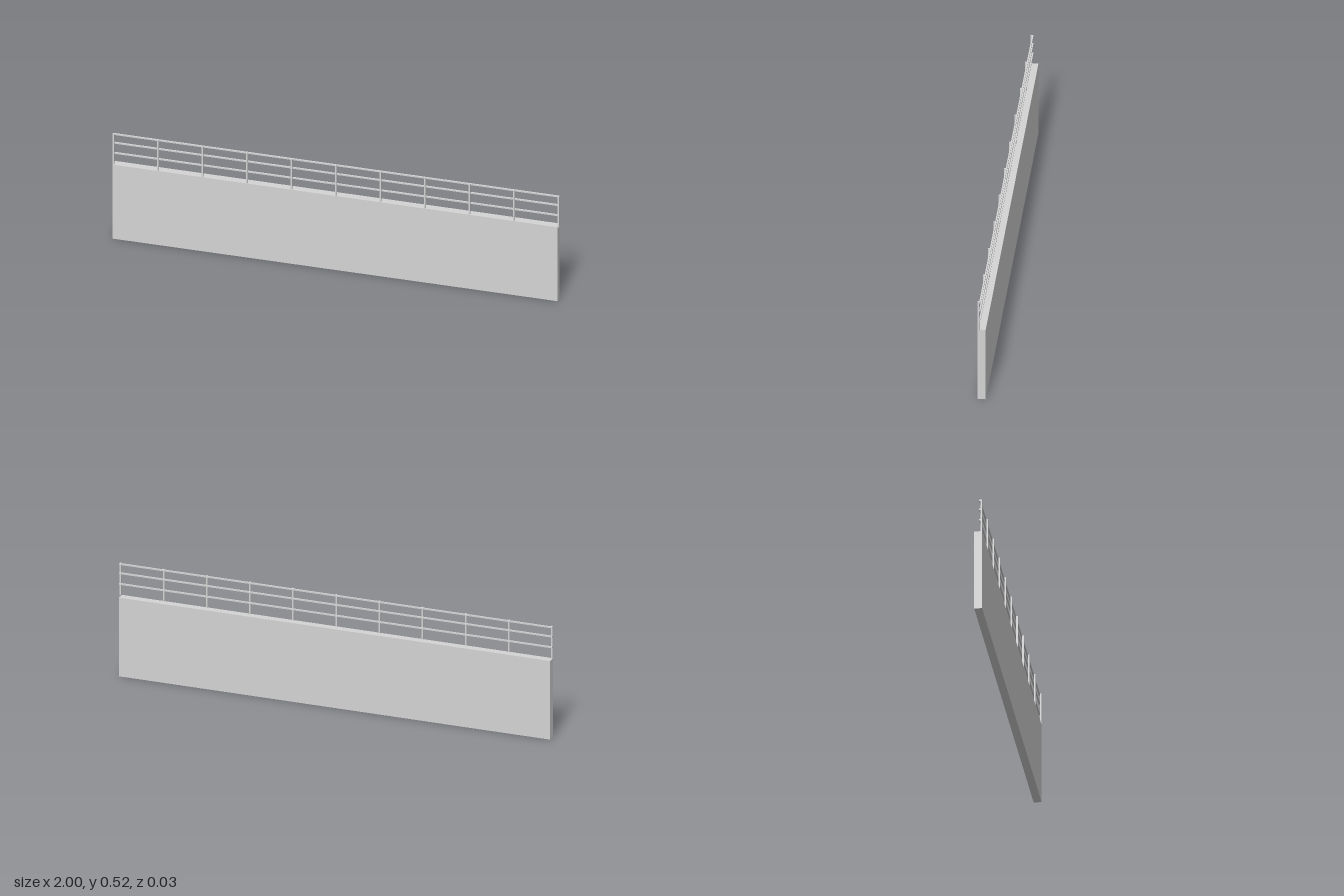
import * as THREE from 'three';

export function createModel() {
  const model = new THREE.Group();
  const lightGrey = new THREE.MeshStandardMaterial({ color: 0xd4d4d4 });
  lightGrey.name = 'light grey';

  // Box given by its extents along each axis
  const box = (name, [x0, x1], [y0, y1], [z0, z1]) => {
    const mesh = new THREE.Mesh(new THREE.BoxGeometry(x1 - x0, y1 - y0, z1 - z0), lightGrey);
    mesh.position.set((x0 + x1) / 2, (y0 + y1) / 2, (z0 + z1) / 2);
    mesh.name = name;
    return mesh;
  };

  // Solid parapet wall
  const wallTop = 0.366;
  model.add(box('wall', [-1, 0.993], [0, wallTop], [-0.017, 0.0175]));

  const railing = new THREE.Group();
  railing.name = 'railing';
  model.add(railing);

  // Evenly spaced posts along the front edge
  const postCount = 11, postWidth = 0.007;
  for (let i = 0; i < postCount; i++) {
    const x = -1 + i * (2 - postWidth) / (postCount - 1);
    railing.add(box('post', [x, x + postWidth], [wallTop, 0.516], [0.0105, 0.0175]));
  }

  // Three horizontal rails behind the posts
  for (const y of [0.42, 0.47, 0.5127]) {
    railing.add(box('rail', [-1, 1], [y - 0.0033, y + 0.0033], [0.0043, 0.0105]));
  }

  return model;
}
